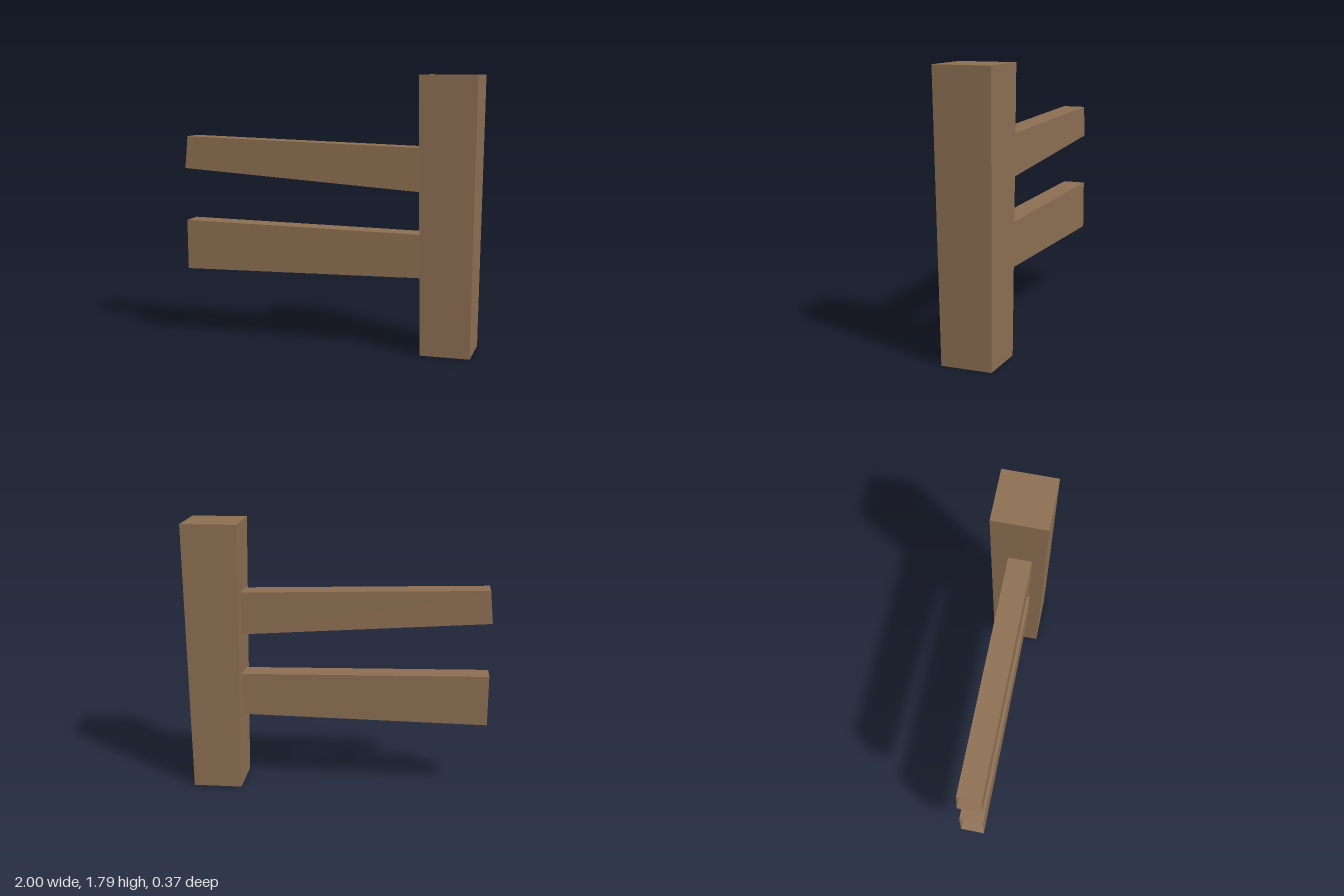
import * as THREE from 'three';

// Box faces in index order: +x, -x, +y, -y, +z, -z
const PX = 0, NX = 1, NY = 3;

// Unit box whose corners are moved by a rule, with some faces left open.
// place(sx, sy, sz) takes corner signs and returns [x, y, z].
function openBox(name, material, openFaces, place) {
  const geo = new THREE.BoxGeometry(2, 2, 2);
  const pos = geo.attributes.position;
  for (let i = 0; i < pos.count; i++) {
    pos.setXYZ(i, ...place(pos.getX(i), pos.getY(i), pos.getZ(i)));
  }
  const index = Array.from(geo.index.array);
  geo.setIndex(index.filter((_, i) => !openFaces.includes(Math.floor(i / 6))));
  geo.clearGroups();
  geo.computeVertexNormals();
  const mesh = new THREE.Mesh(geo, material);
  mesh.name = name;
  return mesh;
}

export function createModel() {
  const group = new THREE.Group();
  group.name = 'fenceEnd';
  const wood = new THREE.MeshStandardMaterial({ color: 0x8c6e51, side: THREE.DoubleSide, flatShading: true });
  wood.name = 'wood brown';

  // Post: widens towards the top, open underneath
  group.add(openBox('post', wood, [NY], (sx, sy, sz) => sy > 0
    ? [0.815 + sx * 0.183, 1.795, sz * 0.184]
    : [0.815 + sx * 0.162, 0, sz * 0.164]));

  // Rails: hollow planks of uneven height, butted against the post
  const rails = [
    { name: 'upperRail', outerTop: [-0.98, 1.377], outerBottom: [-1, 1.16], innerTop: [0.64, 1.333], innerBottom: [0.643, 1.05] },
    { name: 'lowerRail', outerTop: [-0.993, 0.802], outerBottom: [-0.99, 0.465], innerTop: [0.645, 0.776], innerBottom: [0.649, 0.492] },
  ];
  for (const r of rails) {
    group.add(openBox(r.name, wood, [PX, NX], (sx, sy, sz) => {
      const end = sx > 0 ? 'inner' : 'outer';
      return [...r[end + (sy > 0 ? 'Top' : 'Bottom')], 0.012 + sz * 0.078];
    }));
  }
  return group;
}
